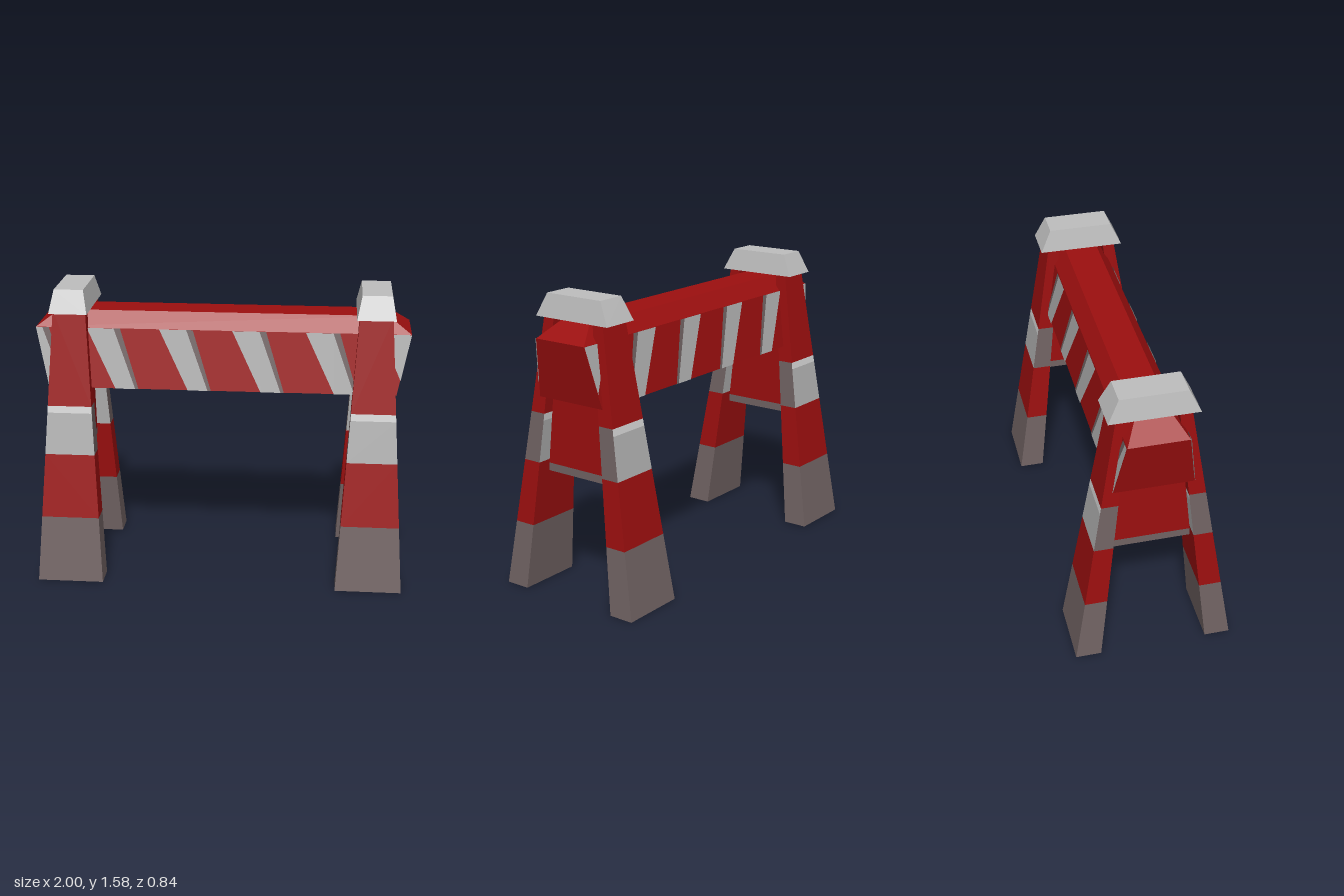
import * as THREE from 'three';

const material = (name, color) =>
  new THREE.MeshStandardMaterial({ name, color, side: THREE.DoubleSide, flatShading: true });

// Builds flat quads from lists of four corners (counter-clockwise from outside)
function quadGeometry(quads) {
  const pos = [];
  for (const [a, b, c, d] of quads) pos.push(...a, ...b, ...c, ...a, ...c, ...d);
  const geo = new THREE.BufferGeometry();
  geo.setAttribute('position', new THREE.Float32BufferAttribute(pos, 3));
  geo.computeVertexNormals();
  return geo;
}

// Rectangular cross-section at height y, corners running front-left to back-left
const ring = (y, x0, x1, z0, z1) => [[x0, y, z1], [x1, y, z1], [x1, y, z0], [x0, y, z0]];

// Four walls between two sections: front, +x side, back, -x side
const walls = (lo, hi) => lo.map((p, i) => {
  const j = (i + 1) % 4;
  return [p, lo[j], hi[j], hi[i]];
});

// Closed solid through a stack of sections
function loft(rings) {
  const quads = [[...rings[0]].reverse(), rings[rings.length - 1]];
  for (let i = 1; i < rings.length; i++) quads.push(...walls(rings[i - 1], rings[i]));
  return quadGeometry(quads);
}

export function createModel() {
  const red = material('red', 0x9c0f0f);
  const grey = material('stripe grey', 0xb2b2b2);
  const pale = material('pale grey', 0xd6d6d6);
  const capGrey = material('cap grey', 0xbebebe);
  const dark = material('dark grey', 0x716363);

  const model = new THREE.Group();
  model.name = 'barrier';
  const add = (parent, name, geo, mat) => {
    const mesh = new THREE.Mesh(geo, mat);
    mesh.name = name;
    parent.add(mesh);
    return mesh;
  };

  // Tapered leg section, leaning inwards with height
  const legTop = 1.47;
  const legRing = (y) => {
    const t = y / legTop;
    const half = THREE.MathUtils.lerp(0.178, 0.087, t);
    return ring(y, 0.812 - half, 0.812 + half,
      THREE.MathUtils.lerp(0.285, 0.125, t), THREE.MathUtils.lerp(0.42, 0.188, t));
  };
  // Bands: name, bottom, top, front and back colour, side colour
  const bands = [
    ['foot', 0, 0.355, dark, dark],
    ['lowerLeg', 0.355, 0.7, red, red],
    ['reflectiveBand', 0.7, 0.925, grey, dark],
    ['bandHighlight', 0.925, 0.962, pale, dark],
    ['upperLeg', 0.962, legTop, red, red],
  ];

  for (const side of [1, -1]) {
    const trestle = new THREE.Group();
    trestle.name = side > 0 ? 'leftTrestle' : 'rightTrestle';
    trestle.scale.x = side;
    model.add(trestle);

    for (const face of [1, -1]) {
      const leg = new THREE.Group();
      leg.name = face > 0 ? 'frontLeg' : 'backLeg';
      leg.scale.z = face;
      trestle.add(leg);
      for (const [name, y0, y1, faceMat, sideMat] of bands) {
        const w = walls(legRing(y0), legRing(y1));
        add(leg, name + 'Faces', quadGeometry([w[0], w[2]]), faceMat);
        add(leg, name + 'Sides', quadGeometry([w[1], w[3]]), sideMat);
      }
    }

    // Cross brace between the two legs
    add(trestle, 'brace', loft([
      ring(0.68, 0.755, 0.87, -0.21, 0.21), ring(1.06, 0.755, 0.87, -0.185, 0.185)]), red);
    add(trestle, 'braceEdge', loft([
      ring(0.638, 0.755, 0.87, -0.212, 0.212), ring(0.68, 0.755, 0.87, -0.21, 0.21)]), dark);

    // Bevelled cap over both legs
    add(trestle, 'cap', loft([
      ring(1.46, 0.71, 0.915, -0.23, 0.23), ring(1.58, 0.735, 0.892, -0.172, 0.172)]), capGrey);
  }

  // Beam, widest in x at its shoulder
  const yLow = 1.05, yHigh = 1.37;
  add(model, 'beam', loft([
    ring(yLow, -0.93, 0.93, -0.205, 0.205),
    ring(yHigh, -1, 1, -0.155, 0.155),
    ring(1.453, -0.88, 0.88, -0.09, 0.09)]), red);

  // Slanted stripes: thin faces just above the sloping beam sides
  const point = (x, y) => [x, y, 0.209 - 0.05 * (y - yLow) / (yHigh - yLow)];
  const slant = (b0, b1, t0, t1, yb = yLow) =>
    [point(b0, yb), point(b1, yb), point(t1, yHigh), point(t0, yHigh)];
  const stripes = [slant(-0.93, -0.845, -1, -0.965)];
  const edges = [slant(-0.845, -0.825, -0.965, -0.93)];
  for (let i = 0; i < 4; i++) {
    const x = -0.725 + i * 0.39;
    stripes.push(slant(x + 0.155, x + 0.262, x, x + 0.145));
    edges.push(slant(x + 0.262, x + 0.28, x + 0.145, x + 0.18));
  }
  stripes.push(slant(0.948, 0.949, 0.84, 1, 1.13));

  for (const face of [1, -1]) {
    const group = new THREE.Group();
    group.name = face > 0 ? 'frontStripes' : 'backStripes';
    group.scale.z = face;
    model.add(group);
    add(group, 'stripes', quadGeometry(stripes), grey);
    add(group, 'stripeEdges', quadGeometry(edges), dark);
  }
  return model;
}
